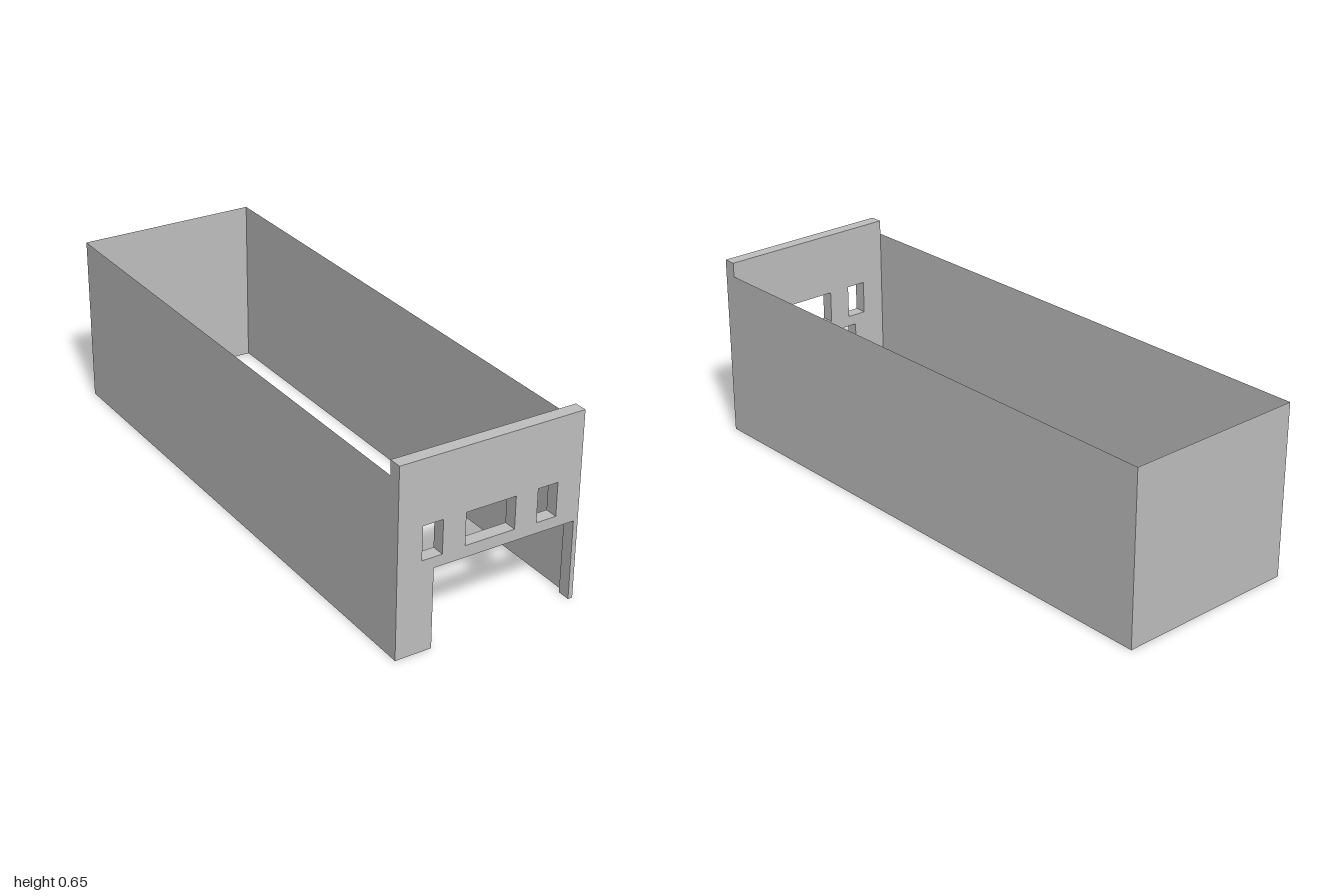
import * as THREE from 'three';

const W = 0.325;        // half width
const WALL_H = 0.6;     // height of side and back walls
const FACADE_H = 0.65;  // height of the front wall
const FACADE_T = 0.045; // thickness of the front wall

const concrete = new THREE.MeshStandardMaterial({ color: 0xc0c0c0, side: THREE.DoubleSide });
concrete.name = 'concreteGrey';

// Rectangular window opening
function opening(x0, x1, y0, y1) {
  const p = new THREE.Path();
  p.moveTo(x0, y0);
  p.lineTo(x0, y1);
  p.lineTo(x1, y1);
  p.lineTo(x1, y0);
  p.closePath();
  return p;
}

export function createModel() {
  const model = new THREE.Group();
  model.name = 'openBuilding';

  const add = (name, geometry) => {
    const mesh = new THREE.Mesh(geometry, concrete);
    mesh.name = name;
    model.add(mesh);
    return mesh;
  };

  // Front wall: outline notched by the wide, off-centre doorway
  const outline = new THREE.Shape([
    [-W, 0], [-0.198, 0], [-0.198, 0.278], [0.309, 0.278],
    [0.309, 0], [W, 0], [W, FACADE_H], [-W, FACADE_H],
  ].map(([x, y]) => new THREE.Vector2(x, y)));
  outline.holes.push(
    opening(-0.24, -0.169, 0.315, 0.431),
    opening(-0.089, 0.088, 0.318, 0.43),
    opening(0.168, 0.24, 0.315, 0.431),
  );
  const facade = add('frontWall', new THREE.ExtrudeGeometry(outline, { depth: FACADE_T, bevelEnabled: false }));
  facade.position.z = 1 - FACADE_T;

  // Paper-thin side walls, running from the back to the front wall
  const length = 2 - FACADE_T;
  for (const side of [-1, 1]) {
    const wall = add(side > 0 ? 'leftWall' : 'rightWall', new THREE.PlaneGeometry(length, WALL_H));
    wall.rotation.y = side * Math.PI / 2;
    wall.position.set(side * W, WALL_H / 2, -FACADE_T / 2);
  }

  // Paper-thin back wall; the building has no floor or roof
  const back = add('backWall', new THREE.PlaneGeometry(2 * W, WALL_H));
  back.rotation.y = Math.PI;
  back.position.set(0, WALL_H / 2, -1);

  return model;
}
